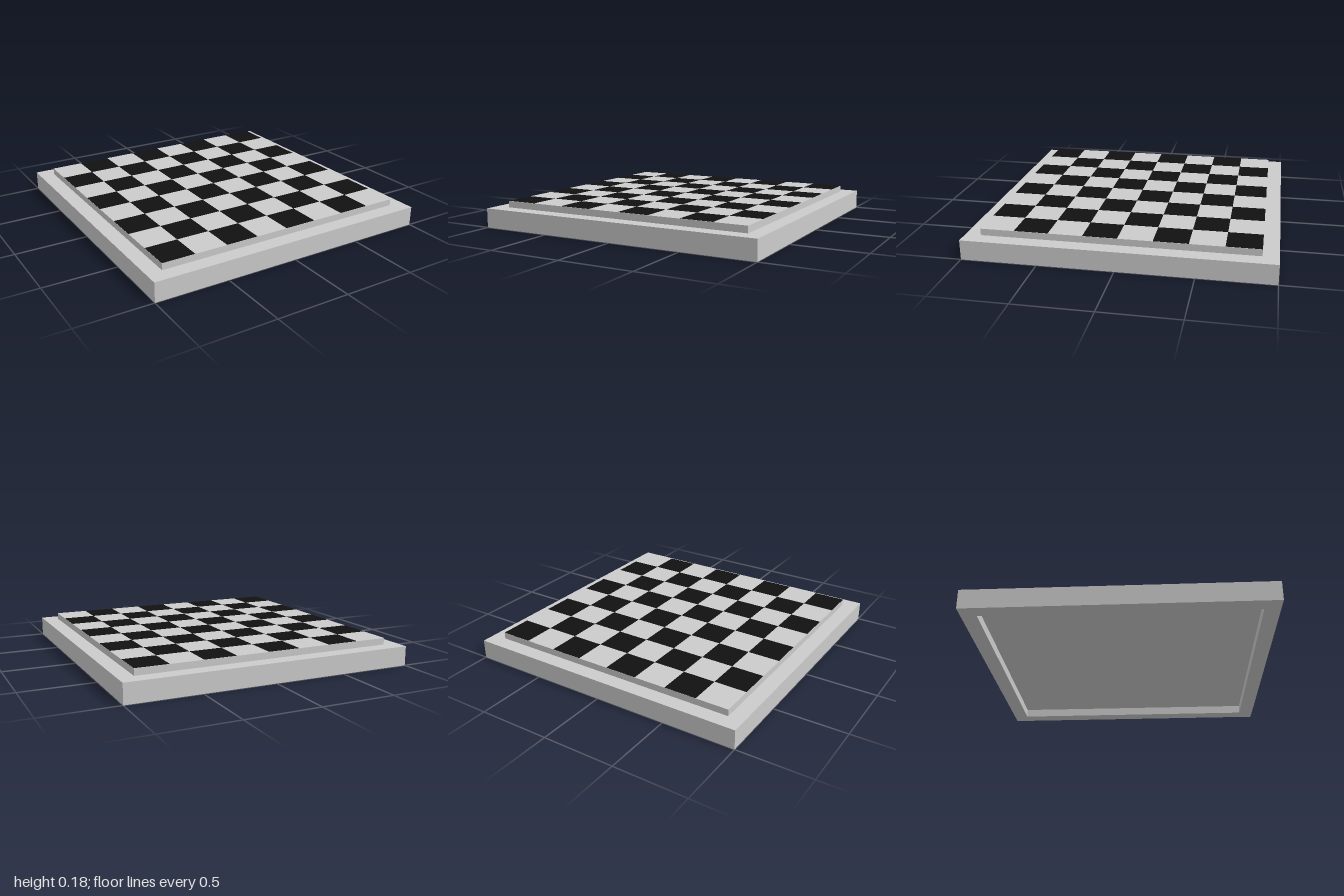
import * as THREE from 'three';

const FRAME_HEIGHT = 0.133;
const BOARD_HALF = 0.896;
const BOARD_BOTTOM = 0.06;
const BOARD_TOP = 0.178;

function squareLoop(path, h) {
  path.moveTo(-h, -h);
  path.lineTo(h, -h);
  path.lineTo(h, h);
  path.lineTo(-h, h);
  path.closePath();
  return path;
}

export function createModel() {
  const model = new THREE.Group();
  model.name = 'checkerboard';
  const grey = new THREE.MeshStandardMaterial({ color: 0xcccccc });
  const light = new THREE.MeshStandardMaterial({ color: 0xf0f0f0 });
  const dark = new THREE.MeshStandardMaterial({ color: 0x111111 });

  // Square border frame, open in the middle
  const outline = squareLoop(new THREE.Shape(), 1);
  outline.holes.push(squareLoop(new THREE.Path(), BOARD_HALF));
  const frameGeometry = new THREE.ExtrudeGeometry(outline, { depth: FRAME_HEIGHT, bevelEnabled: false });
  frameGeometry.rotateX(-Math.PI / 2);
  const frame = new THREE.Mesh(frameGeometry, grey);
  frame.name = 'frame';
  model.add(frame);

  // Raised slab set into the frame, leaving a shallow recess underneath
  const thickness = BOARD_TOP - BOARD_BOTTOM;
  const slab = new THREE.Mesh(new THREE.BoxGeometry(BOARD_HALF * 2, thickness, BOARD_HALF * 2), grey);
  slab.name = 'slab';
  slab.position.y = BOARD_BOTTOM + thickness / 2;
  model.add(slab);

  // 8 x 8 alternating squares on the slab
  const squares = new THREE.Group();
  squares.name = 'squares';
  const cell = BOARD_HALF / 4;
  const squareGeometry = new THREE.PlaneGeometry(cell, cell).rotateX(-Math.PI / 2);
  for (let row = 0; row < 8; row++) {
    for (let col = 0; col < 8; col++) {
      const isLight = (row + col) % 2 === 0;
      const square = new THREE.Mesh(squareGeometry, isLight ? light : dark);
      square.name = isLight ? 'lightSquare' : 'darkSquare';
      square.position.set((col - 3.5) * cell, BOARD_TOP + 0.001, (row - 3.5) * cell);
      squares.add(square);
    }
  }
  model.add(squares);

  return model;
}
